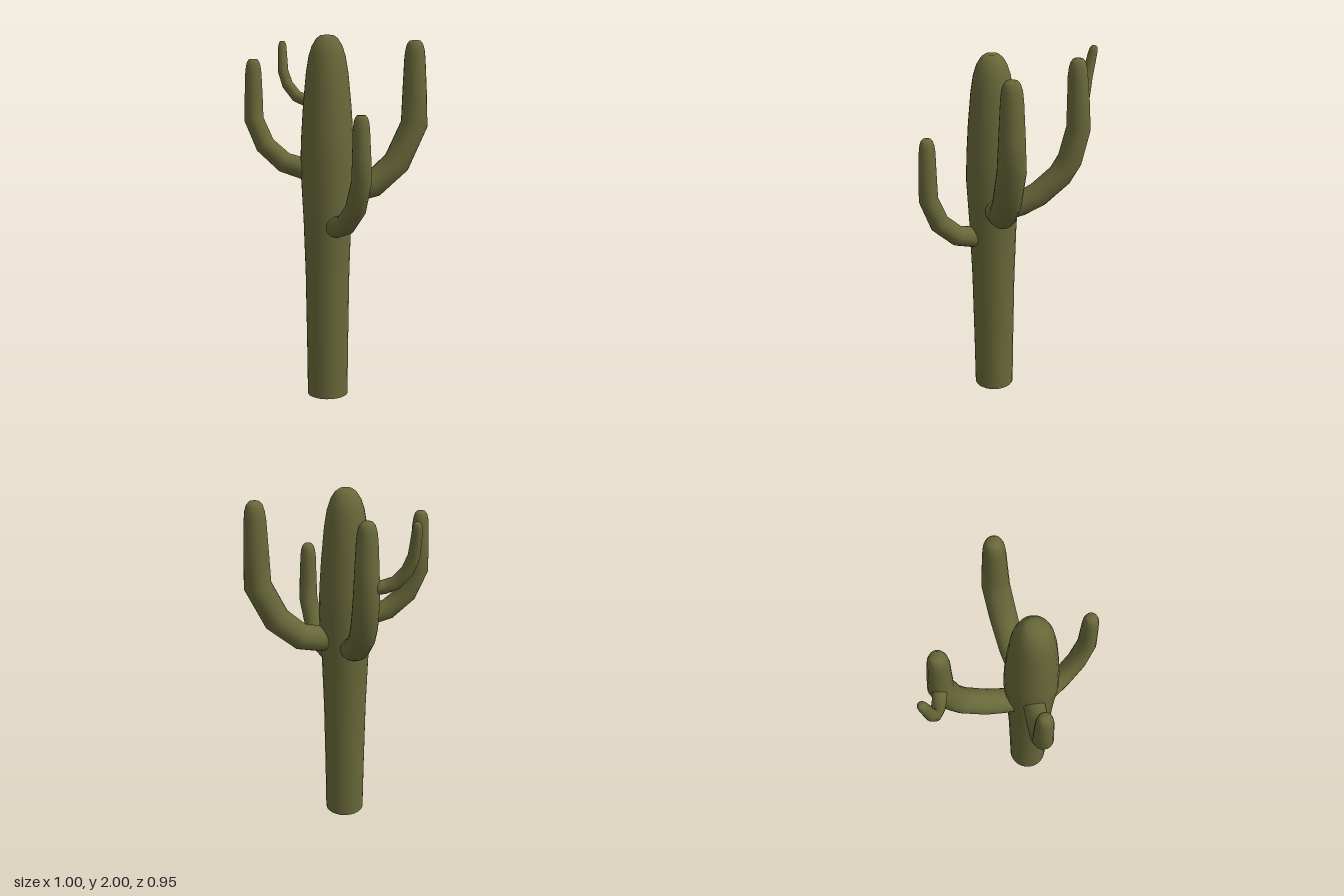
import * as THREE from 'three';

const SIDES = 20;

// Swept limb: each station is [x, y, z, radius]; rings are carried along the path and closed at the tip.
function limbGeometry(stations) {
  const pts = stations.map(([x, y, z]) => new THREE.Vector3(x, y, z));
  const pos = [], idx = [];
  const u = new THREE.Vector3(0, 1, 0.01);
  pts.forEach((p, i) => {
    const t = new THREE.Vector3();
    if (i > 0) t.add(p.clone().sub(pts[i - 1]).normalize());
    if (i < pts.length - 1) t.add(pts[i + 1].clone().sub(p).normalize());
    t.normalize();
    u.addScaledVector(t, -u.dot(t)).normalize();
    const v = t.clone().cross(u);
    for (let j = 0; j < SIDES; j++) {
      const a = (j / SIDES) * Math.PI * 2;
      const q = p.clone()
        .addScaledVector(u, Math.cos(a) * stations[i][3])
        .addScaledVector(v, Math.sin(a) * stations[i][3]);
      pos.push(q.x, q.y, q.z);
    }
  });
  for (let i = 0; i < pts.length - 1; i++) {
    for (let j = 0; j < SIDES; j++) {
      const k = (j + 1) % SIDES;
      const a = i * SIDES + j, b = i * SIDES + k;
      idx.push(a, b, a + SIDES, b, b + SIDES, a + SIDES);
    }
  }
  // Tip
  const tip = pts[pts.length - 1], last = (pts.length - 1) * SIDES;
  pos.push(tip.x, tip.y, tip.z);
  for (let j = 0; j < SIDES; j++) idx.push(last + j, last + ((j + 1) % SIDES), last + SIDES);
  const g = new THREE.BufferGeometry();
  g.setAttribute('position', new THREE.Float32BufferAttribute(pos, 3));
  g.setIndex(idx);
  g.computeVertexNormals();
  return g;
}

// Rounded end above the last full ring: shrinking rings up to height `top`
function roundedTip([x, y, z, r], top, dx = 0, dz = 0) {
  return [[0.5, 0.9], [0.82, 0.74], [1, 0.5]].map(([h, s]) =>
    [x + dx * h, y + (top - y) * h, z + dz * h, r * s]);
}

export function createModel() {
  const group = new THREE.Group();
  const cactus = new THREE.MeshStandardMaterial({ color: 0x68683a });
  cactus.name = 'olive green';

  const add = (name, geometry) => {
    const mesh = new THREE.Mesh(geometry, cactus);
    mesh.name = name;
    group.add(mesh);
    return mesh;
  };

  // Trunk, swelling towards the upper part and rounded on top
  const profile = [
    [0.113, 0], [0.116, 0.3], [0.122, 0.7], [0.132, 1.0], [0.148, 1.3], [0.143, 1.45],
    [0.132, 1.62], [0.115, 1.8], [0.1, 1.89], [0.082, 1.945], [0.058, 1.983], [0.035, 2], [0, 2],
  ].map(([r, y]) => new THREE.Vector2(r, y));
  add('trunk', new THREE.LatheGeometry(profile, 24)).position.set(-0.05, 0, 0.093);

  const base = add('trunkBase', new THREE.CircleGeometry(0.113, 24));
  base.rotation.x = Math.PI / 2;
  base.position.set(-0.05, 0, 0.093);

  // Arms, each bending out from the trunk and then upwards
  const leftEnd = [0.424, 1.88, -0.034, 0.058];
  add('leftArm', limbGeometry([
    [-0.02, 1.16, 0.08, 0.07], [0.1, 1.165, 0.05, 0.072], [0.2, 1.19, 0.025, 0.074],
    [0.33, 1.31, -0.005, 0.076], [0.425, 1.52, -0.033, 0.075],
    [0.425, 1.7, -0.034, 0.067], leftEnd, ...roundedTip(leftEnd, 1.975),
  ]));

  const rightEnd = [-0.45, 1.8, 0.092, 0.044];
  add('rightArm', limbGeometry([
    [-0.08, 1.265, 0.093, 0.06], [-0.19, 1.285, 0.093, 0.059], [-0.285, 1.315, 0.093, 0.057],
    [-0.39, 1.41, 0.093, 0.055], [-0.45, 1.55, 0.092, 0.053],
    [-0.45, 1.68, 0.092, 0.049], rightEnd, ...roundedTip(rightEnd, 1.873),
  ]));

  const frontEnd = [0.145, 1.52, 0.425, 0.044];
  add('frontArm', limbGeometry([
    [-0.04, 0.965, 0.12, 0.058], [0.01, 0.978, 0.21, 0.058], [0.06, 1.005, 0.285, 0.057],
    [0.115, 1.1, 0.375, 0.056], [0.147, 1.25, 0.427, 0.053],
    [0.147, 1.38, 0.427, 0.049], frontEnd, ...roundedTip(frontEnd, 1.59),
  ]));

  const backEnd = [-0.125, 1.87, -0.363, 0.055];
  add('backArm', limbGeometry([
    [-0.07, 1.11, 0.05, 0.066], [-0.085, 1.145, -0.06, 0.068], [-0.098, 1.2, -0.16, 0.07],
    [-0.113, 1.31, -0.28, 0.07], [-0.12, 1.4, -0.332, 0.07], [-0.125, 1.58, -0.375, 0.068],
    [-0.125, 1.73, -0.37, 0.062], backEnd, ...roundedTip(backEnd, 1.962),
  ]));

  // Small branch growing from the back arm
  const branchEnd = [-0.354, 1.94, -0.447, 0.026];
  add('smallBranch', limbGeometry([
    [-0.13, 1.63, -0.375, 0.036], [-0.21, 1.638, -0.385, 0.036], [-0.265, 1.662, -0.395, 0.035],
    [-0.32, 1.73, -0.41, 0.033], [-0.347, 1.81, -0.422, 0.031],
    branchEnd, ...roundedTip(branchEnd, 1.985, 0, -0.01),
  ]));

  return group;
}
